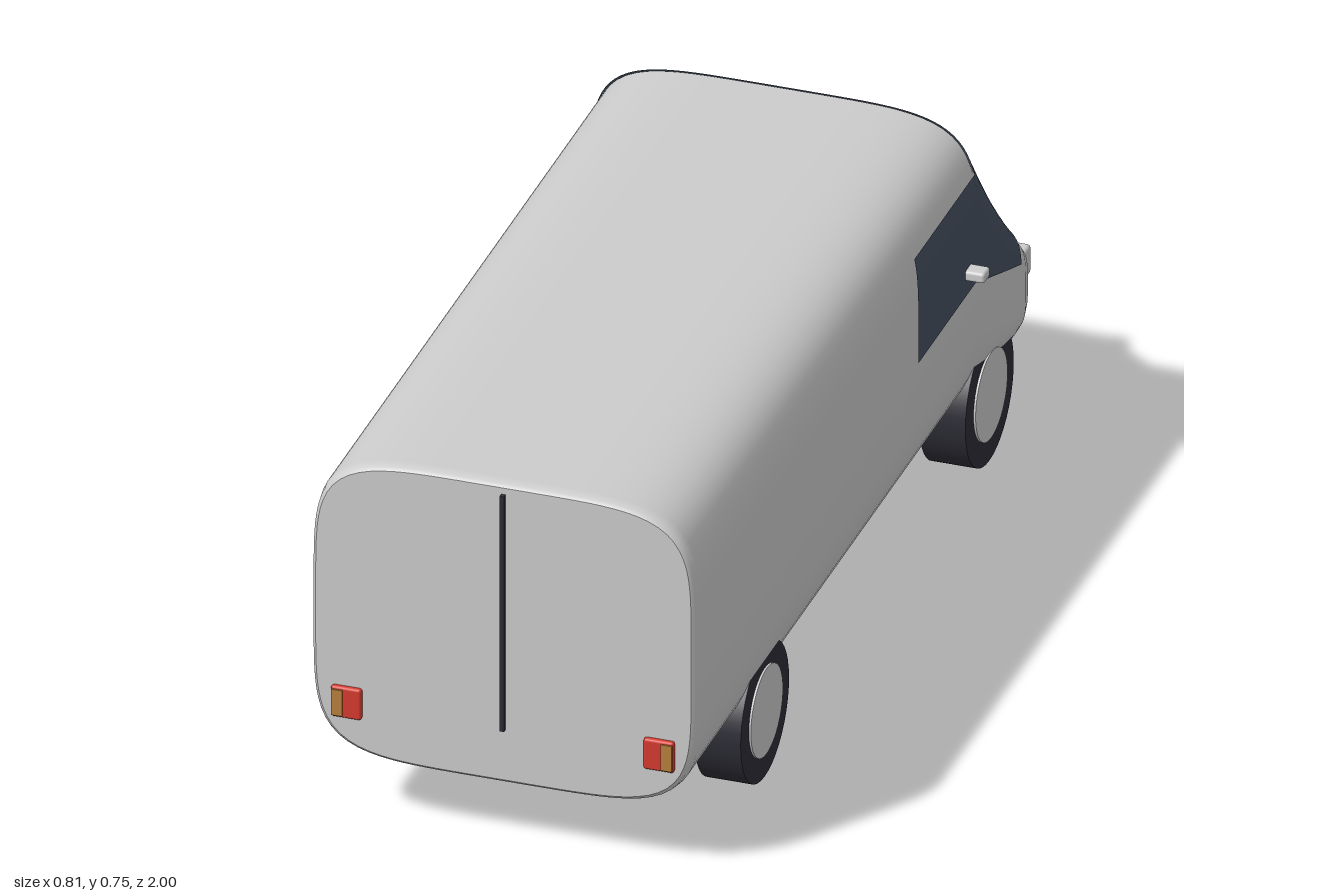
import * as THREE from 'three';
import { RoundedBoxGeometry } from 'three/addons/geometries/RoundedBoxGeometry.js';

const mat = (name, color, side = THREE.FrontSide) => {
  const m = new THREE.MeshStandardMaterial({ color, side });
  m.name = name;
  return m;
};

// Body section: superellipse between bottom and top, half width w, exponent n
const section = (z, bottom, top, w, n = 5) => ({ z, cy: (bottom + top) / 2, hy: (top - bottom) / 2, w, n });
const grow = (s, d) => ({ ...s, hy: s.hy + d, w: s.w + d });

// Angle at which a section's right side reaches height y
function angleAt(s, y) {
  const v = (y - s.cy) / s.hy;
  return Math.atan2(v, Math.pow(1 - Math.pow(Math.abs(v), s.n), 1 / s.n));
}

// Skin over sections running towards -z; range(s) gives the start and end angle
function loft(sections, segs, range) {
  const pos = [], index = [];
  const cols = range ? segs + 1 : segs;
  for (const s of sections) {
    const [t0, t1] = range ? range(s) : [0, Math.PI * 2];
    for (let j = 0; j < cols; j++) {
      const t = t0 + (t1 - t0) * j / segs;
      const c = Math.cos(t), k = Math.sin(t);
      const r = Math.pow(Math.abs(c) ** s.n + Math.abs(k) ** s.n, -1 / s.n);
      pos.push(s.w * r * c, s.cy + s.hy * r * k, s.z);
    }
  }
  for (let i = 0; i < sections.length - 1; i++) {
    for (let j = 0; j < segs; j++) {
      const a = i * cols + j, b = i * cols + (j + 1) % cols;
      index.push(a, a + cols, b, b, a + cols, b + cols);
    }
  }
  const g = new THREE.BufferGeometry();
  g.setAttribute('position', new THREE.Float32BufferAttribute(pos, 3));
  g.setIndex(index);
  g.computeVertexNormals();
  return g;
}

export function createModel() {
  const van = new THREE.Group();
  van.name = 'van';
  const paint = mat('body grey', 0xcccccc);
  const glass = mat('dark glass', 0x465160, THREE.DoubleSide);
  const rubber = mat('black rubber', 0x2d2d36);
  const red = mat('red lens', 0xd63a2e);
  const amber = mat('amber lens', 0xb8803c);
  const silver = mat('silver', 0xcdcdcd);

  const add = (name, geometry, material, x = 0, y = 0, z = 0) => {
    const m = new THREE.Mesh(geometry, material);
    m.name = name;
    m.position.set(x, y, z);
    van.add(m);
    return m;
  };
  // Box given by its limits on each axis
  const box = (name, material, [x0, x1], [y0, y1], [z0, z1], radius = 0) => {
    const size = [x1 - x0, y1 - y0, z1 - z0];
    const g = radius ? new RoundedBoxGeometry(...size, 2, radius) : new THREE.BoxGeometry(...size);
    return add(name, g, material, (x0 + x1) / 2, (y0 + y1) / 2, (z0 + z1) / 2);
  };
  const mirrored = (s, a, b) => (s > 0 ? [a, b] : [-b, -a]);

  // Cargo body with a softly rounded rear rim
  const full = section(0.96, 0.132, 0.752, 0.367);
  const rim = { ...grow(full, -0.009), z: 0.985 };
  const roofEnd = { ...full, z: -0.56 };
  add('cargoBody', loft([rim, { ...grow(full, -0.003), z: 0.979 }, full, { ...full, z: 0.2 }, roofEnd], 128), paint);
  add('rearPanel', loft([{ ...rim, w: 0, hy: 0 }, rim], 128), paint);

  // Cab and nose
  const cab = [
    roofEnd,
    section(-0.61, 0.132, 0.674, 0.367),
    section(-0.67, 0.132, 0.587, 0.367),
    section(-0.735, 0.132, 0.502, 0.367),
    section(-0.8, 0.133, 0.427, 0.366),
  ];
  const nose = [
    section(-0.84, 0.135, 0.387, 0.363, 4.8),
    section(-0.88, 0.139, 0.354, 0.353, 4.5),
    section(-0.915, 0.148, 0.331, 0.334, 4.2),
    section(-0.945, 0.164, 0.313, 0.304, 4),
    section(-0.965, 0.183, 0.292, 0.265, 4),
    section(-0.978, 0.204, 0.267, 0.215, 4),
    section(-0.984, 0.222, 0.25, 0.14, 4),
    section(-0.985, 0.236, 0.236, 0),
  ];
  add('cabAndNose', loft([...cab, ...nose], 128), paint);

  // Wraparound windscreen, its lower edge falling towards the nose
  add('windscreen', loft(cab.map(s => grow(s, 0.003)), 96, s => {
    const t = angleAt(s, 0.42 - (-0.56 - s.z) * 0.375);
    return [t, Math.PI - t];
  }), glass);

  // Side windows
  const pane = grow(full, 0.003);
  const low = angleAt(pane, 0.427), high = angleAt(pane, 0.64);
  for (const s of [1, -1]) {
    add('sideWindow', loft([{ ...pane, z: -0.23 }, { ...pane, z: -0.56 }], 16,
      () => (s > 0 ? [low, high] : [Math.PI - high, Math.PI - low])), glass);
  }

  // Wheels
  const tyre = new THREE.CylinderGeometry(0.133, 0.133, 0.088, 40).rotateZ(Math.PI / 2);
  const hub = new THREE.CylinderGeometry(0.088, 0.088, 0.092, 40).rotateZ(Math.PI / 2);
  for (const s of [1, -1]) {
    for (const z of [0.58, -0.655]) {
      add('tyre', tyre, rubber, s * 0.314, 0.133, z);
      add('hubcap', hub, silver, s * 0.316, 0.136, z);
    }
  }

  // Rear door seam and front bumper
  box('doorSeam', rubber, [-0.004, 0.004], [0.245, 0.73], [0.98, 0.994]);
  box('bumper', rubber, [-0.222, 0.222], [0.138, 0.21], [-1, -0.962], 0.007);

  for (const s of [1, -1]) {
    // Tail lamps: red housing with an amber outer lens
    box('tailLamp', red, mirrored(s, 0.269, 0.327), [0.217, 0.28], [0.97, 0.994], 0.005);
    box('tailLampIndicator', amber, mirrored(s, 0.304, 0.325), [0.222, 0.275], [0.99, 0.997]);

    // Headlamps: silver housing with an amber outer lens
    box('headlamp', silver, mirrored(s, 0.235, 0.328), [0.216, 0.275], [-0.972, -0.905], 0.007);
    box('headlampIndicator', amber, mirrored(s, 0.285, 0.32), [0.222, 0.269], [-0.976, -0.969]);

    // Door mirrors
    box('mirror', silver, mirrored(s, 0.355, 0.406), [0.459, 0.48], [-0.522, -0.488], 0.006);
  }
  return van;
}
